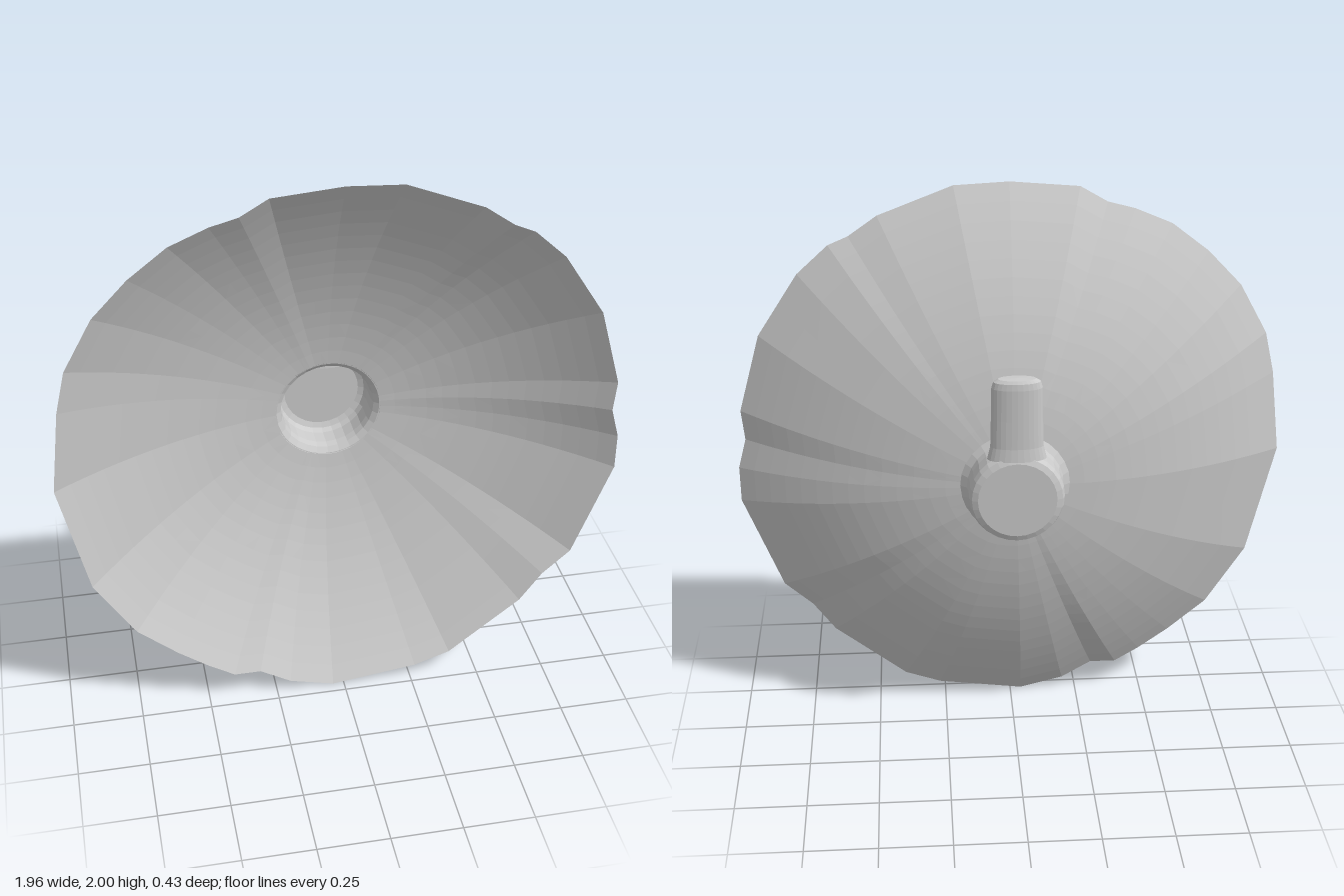
import * as THREE from 'three';

const CENTRE_Y = 1.015;
const HUB_R = 0.185;

// Uneven rim of the dish as [x, y], clockwise from the top
const RIM = [
  [0, 2], [0.19, 1.99], [0.45, 1.89], [0.55, 1.82], [0.62, 1.79], [0.73, 1.69], [0.875, 1.47],
  [0.955, 1.19], [0.945, 1.08], [0.975, 0.97], [0.975, 0.84], [0.84, 0.49], [0.74, 0.4],
  [0.66, 0.29], [0.4, 0.085], [0.27, 0.04], [-0.04, 0], [-0.2, 0.04], [-0.31, 0.105],
  [-0.405, 0.105], [-0.495, 0.16], [-0.605, 0.24], [-0.745, 0.36], [-0.885, 0.58],
  [-0.98, 0.99], [-0.945, 1.29], [-0.91, 1.44], [-0.81, 1.62], [-0.69, 1.745],
  [-0.56, 1.845], [-0.43, 1.9], [-0.335, 1.925], [-0.24, 1.98],
];

// Depth of the dish at a fraction t of its radius
const dishZ = (t) => -0.1 + 0.31 * t * t;

// Shallow bowl: rings blended from the round hub hole out to the uneven rim
function dishGeometry(rings = 14, split = 2) {
  const pos = [], index = [];
  const n = RIM.length * split;
  for (let j = 0; j <= rings; j++) {
    for (let i = 0; i < n; i++) {
      const a = RIM[Math.floor(i / split)];
      const b = RIM[(Math.floor(i / split) + 1) % RIM.length];
      const f = (i % split) / split;
      const x = a[0] + (b[0] - a[0]) * f;
      const y = a[1] + (b[1] - a[1]) * f - CENTRE_Y;
      const r = Math.hypot(x, y);
      const inner = HUB_R / r;
      const t = inner + (1 - inner) * (j / rings);
      pos.push(x * t, y * t + CENTRE_Y, dishZ(t));
      if (j < rings) {
        const p = j * n + i, q = j * n + (i + 1) % n;
        // Alternate the diagonals for an irregular facet pattern
        if ((i + j) % 2) index.push(p, q, p + n, q, q + n, p + n);
        else index.push(p, q, q + n, p, q + n, p + n);
      }
    }
  }
  const geo = new THREE.BufferGeometry();
  geo.setAttribute('position', new THREE.Float32BufferAttribute(pos, 3));
  geo.setIndex(index);
  geo.computeVertexNormals();
  return geo;
}

const lathe = (profile, sides) =>
  new THREE.LatheGeometry(profile.map(([r, h]) => new THREE.Vector2(r, h)), sides);

export function createModel() {
  const group = new THREE.Group();
  const material = new THREE.MeshStandardMaterial({
    color: 0xcccccc, flatShading: true, side: THREE.DoubleSide,
  });
  const add = (name, geometry) => {
    const mesh = new THREE.Mesh(geometry, material);
    mesh.name = name;
    group.add(mesh);
    return mesh;
  };

  add('dish', dishGeometry());

  // Round cup behind the dish, open to the front and flared into the bowl
  const hub = add('hubCup', lathe([
    [0, -0.22], [0.135, -0.22], [0.155, -0.212], [0.163, -0.192],
    [0.163, -0.13], [0.168, -0.105], [0.19, -0.088],
  ], 28));
  hub.rotation.x = Math.PI / 2;
  hub.position.y = CENTRE_Y;

  // Flattened upright peg with a rounded tip
  const peg = add('mountingPeg', lathe([
    [1.12, 1.155], [1.0, 1.2], [0.97, 1.3], [0.95, 1.41], [0.88, 1.432], [0.7, 1.442], [0, 1.444],
  ], 28));
  peg.scale.set(0.09, 1, 0.038);
  peg.position.z = -0.177;

  return group;
}
